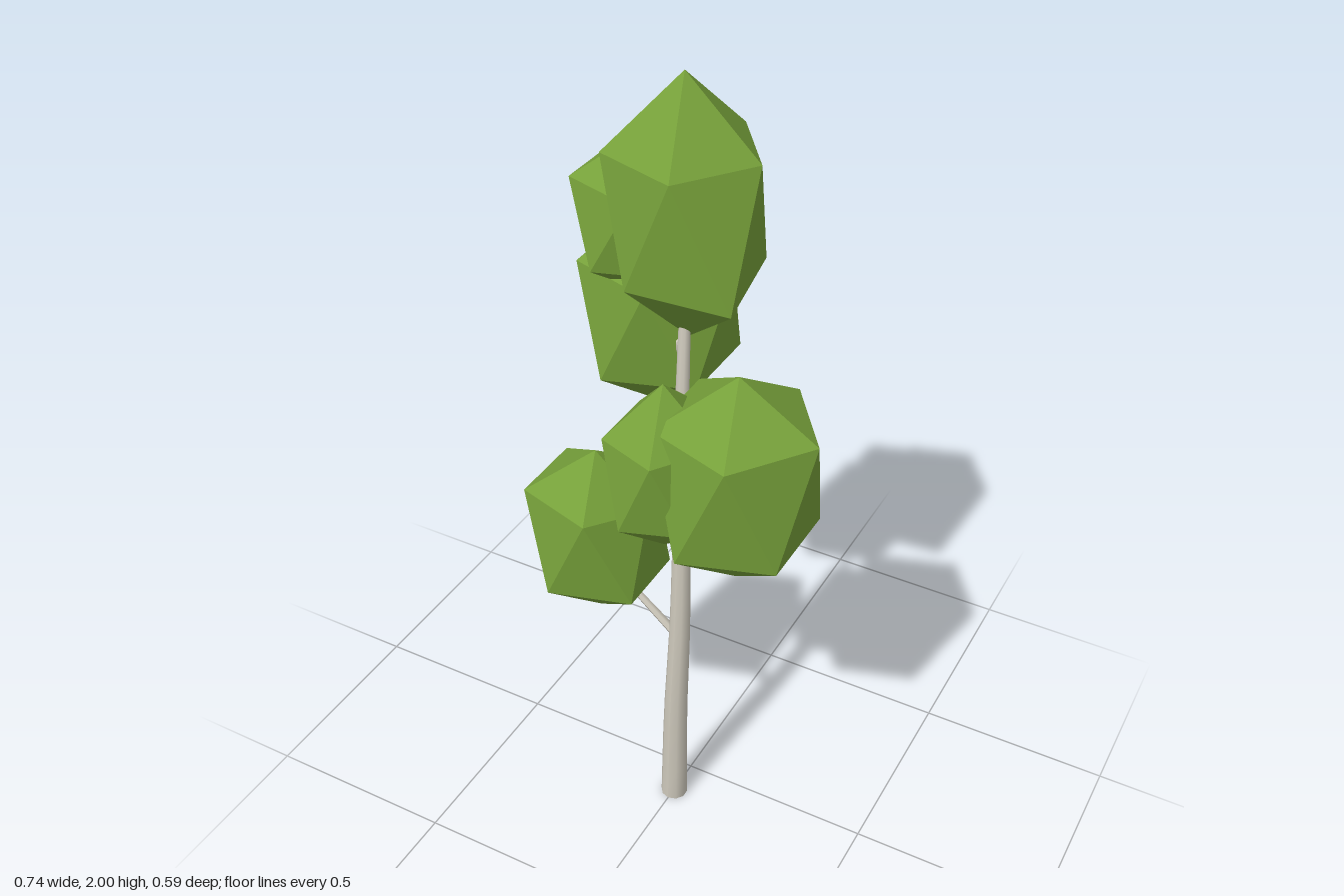
import * as THREE from 'three';

// Faceted leaf clump: apex, two staggered rings of five, and a lower tip.
// nudge moves single corners: 1-5 upper ring, 6-10 lower ring, 11 tip.
function clumpGeometry({ x, z, rx, rz = rx, ys, nudge = {} }) {
  const [top, upper, lower, bottom] = ys;
  const pts = [[x, top, z]];
  for (const [y, turn] of [[upper, 0], [lower, Math.PI / 5]]) {
    for (let i = 0; i < 5; i++) {
      const a = i * Math.PI * 0.4 + turn;
      pts.push([x + rx * Math.cos(a), y, z + rz * Math.sin(a)]);
    }
  }
  pts.push([x, bottom, z]);
  for (const k in nudge) pts[k] = pts[k].map((v, j) => v + nudge[k][j]);

  const index = [];
  for (let i = 0; i < 5; i++) {
    const n = (i + 1) % 5;
    const u = 1 + i, u2 = 1 + n, l = 6 + i, l2 = 6 + n;
    index.push(0, u2, u, u, u2, l, l, u2, l2, l, l2, 11);
  }
  const indexed = new THREE.BufferGeometry();
  indexed.setAttribute('position', new THREE.Float32BufferAttribute(pts.flat(), 3));
  indexed.setIndex(index);
  const geo = indexed.toNonIndexed();
  geo.computeVertexNormals();
  return geo;
}

// Round limb along a curve, tapering from r0 to r1, with closed ends.
function limbGeometry(points, r0, r1, steps, sides) {
  const curve = new THREE.CatmullRomCurve3(points.map(p => new THREE.Vector3(...p)));
  const geo = new THREE.CylinderGeometry(1, 1, 1, sides, steps);
  const pos = geo.attributes.position;
  const up = new THREE.Vector3(0, 1, 0);
  const v = new THREE.Vector3(), q = new THREE.Quaternion();
  for (let i = 0; i < pos.count; i++) {
    v.fromBufferAttribute(pos, i);
    const t = THREE.MathUtils.clamp(v.y + 0.5, 0, 1);
    const r = r0 + (r1 - r0) * t;
    q.setFromUnitVectors(up, curve.getTangentAt(t));
    v.set(v.x * r, 0, v.z * r).applyQuaternion(q).add(curve.getPointAt(t));
    pos.setXYZ(i, v.x, Math.max(0, v.y), v.z);
  }
  geo.computeVertexNormals();
  return geo;
}

export function createModel() {
  const tree = new THREE.Group();
  tree.name = 'tree';
  const bark = new THREE.MeshStandardMaterial({ name: 'pale bark', color: 0xcdc8bb });
  const leaf = new THREE.MeshStandardMaterial({ name: 'leaf green', color: 0x76a03a, flatShading: true });
  const add = (name, geo, mat) => {
    const mesh = new THREE.Mesh(geo, mat);
    mesh.name = name;
    tree.add(mesh);
  };

  // Gently leaning trunk
  add('trunk', limbGeometry([
    [0, 0, 0.094], [0.005, 0.3, 0.092], [0.014, 0.6, 0.083], [0.012, 0.85, 0.07],
    [0, 1.15, 0.045], [-0.01, 1.4, 0.012], [-0.02, 1.6, -0.02],
  ], 0.035, 0.011, 14, 10), bark);

  // Short branches reaching into the clumps
  const branches = {
    lowBranch: [[0.01, 0.56, 0.085], [-0.14, 0.71, 0.1]],
    leftBranch: [[0.012, 0.82, 0.072], [0.13, 0.96, 0.1]],
    frontBranch: [[0.01, 0.84, 0.07], [0.013, 1.0, 0.14]],
    backBranch: [[0, 1.06, 0.055], [-0.11, 1.22, -0.08]],
    upperBranch: [[-0.005, 1.34, 0.02], [-0.12, 1.5, -0.06]],
  };
  for (const [name, path] of Object.entries(branches)) {
    add(name, limbGeometry(path, 0.012, 0.008, 1, 6), bark);
  }

  // Leaf clumps: ys lists apex, upper ring, lower ring and tip heights
  const clumps = {
    crownClump: {
      x: -0.03, z: -0.03, rx: 0.18, ys: [2, 1.83, 1.555, 1.385],
      nudge: { 6: [0.034, -0.02, 0.024], 8: [0.02, 0, 0], 11: [0.02, 0, 0.02] },
    },
    upperRightClump: {
      x: -0.155, z: -0.075, rx: 0.165, ys: [1.825, 1.725, 1.54, 1.425],
      nudge: { 8: [0.03, 0, 0] },
    },
    backClump: {
      x: -0.145, z: -0.12, rx: 0.19, ys: [1.64, 1.5, 1.245, 1.1],
      nudge: { 8: [0.01, 0, 0] },
    },
    leftClump: { x: 0.175, z: 0.105, rx: 0.195, ys: [1.4, 1.278, 0.992, 0.84] },
    frontClump: {
      x: 0.015, z: 0.155, rx: 0.135, rz: 0.145, ys: [1.36, 1.23, 1.03, 0.91],
      nudge: { 8: [0.02, 0, 0] },
    },
    lowRightClump: {
      x: -0.195, z: 0.11, rx: 0.178, rz: 0.162, ys: [1.08, 0.975, 0.733, 0.6],
      nudge: { 1: [-0.038, -0.025, 0] },
    },
  };
  for (const [name, spec] of Object.entries(clumps)) add(name, clumpGeometry(spec), leaf);

  return tree;
}
